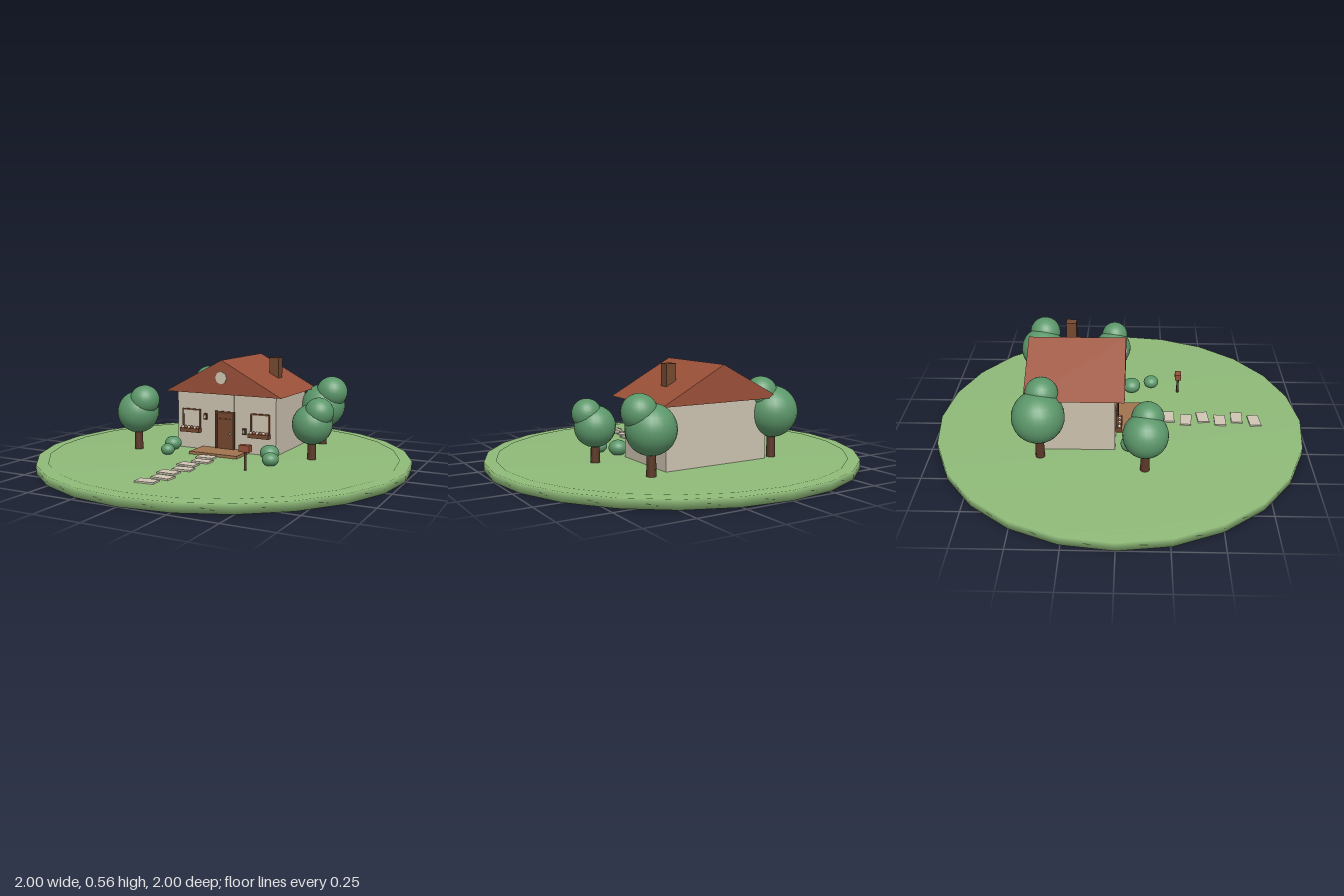
import * as THREE from 'three';

const paint = (name, color) => {
  const m = new THREE.MeshStandardMaterial({ color });
  m.name = name;
  return m;
};

export function createModel() {
  const grass = paint('grass', 0x8fba79);
  const leaf = paint('foliage', 0x5c976a);
  const bark = paint('bark', 0x5a3826);
  const plaster = paint('plaster', 0xcbc1ae);
  const roofRed = paint('roofRed', 0x9a5038);
  const wood = paint('wood', 0x74482f);
  const deck = paint('deck', 0xa0734f);
  const stone = paint('stone', 0xcfc6b4);

  const model = new THREE.Group();
  model.name = 'cottageGarden';
  const G = 0.05; // lawn height

  const add = (name, geometry, material, x = 0, y = 0, z = 0, parent = model) => {
    const mesh = new THREE.Mesh(geometry, material);
    mesh.name = name;
    mesh.position.set(x, y, z);
    parent.add(mesh);
    return mesh;
  };
  const box = (name, w, h, d, material, x, y, z, parent) =>
    add(name, new THREE.BoxGeometry(w, h, d), material, x, y, z, parent);
  const group = (name, x = 0, y = 0, z = 0) => {
    const g = new THREE.Group();
    g.name = name;
    g.position.set(x, y, z);
    model.add(g);
    return g;
  };

  // Softly shaded ground discs: a broad base with a slightly raised lawn
  const disc = (r, y0, y1) => new THREE.LatheGeometry(
    [[0, y0], [r, y0], [r, y1], [0, y1]].map(([a, b]) => new THREE.Vector2(a, b)), 24);
  add('groundBase', disc(1, 0, 0.047), grass);
  add('lawn', disc(0.94, 0.01, G), grass);

  // House body and solid gable roof
  const front = -0.02;
  box('walls', 0.6, 0.33, 0.41, plaster, 0, 0.21, -0.225);
  box('entrancePanel', 0.11, 0.11, 0.008, plaster, 0, 0.317, front + 0.002);
  const gable = new THREE.Shape([
    new THREE.Vector2(-0.35, 0.37), new THREE.Vector2(0.35, 0.37), new THREE.Vector2(0, 0.555)]);
  add('roof', new THREE.ExtrudeGeometry(gable, { depth: 0.51, bevelEnabled: false }), roofRed, 0, 0, -0.48);
  const atticWindow = add('atticWindow', new THREE.CylinderGeometry(0.034, 0.034, 0.008, 8), stone, 0, 0.46, 0.032);
  atticWindow.rotation.x = Math.PI / 2;
  box('chimney', 0.055, 0.16, 0.055, wood, 0.187, 0.475, -0.27);

  // Rectangular frame made of four bars
  const frame = (parent, w, h, bar, depth, material) => {
    for (const s of [-1, 1]) {
      box('frameSide', bar, h, depth, material, s * (w - bar) / 2, 0, 0, parent);
      box('frameRail', w - 2 * bar, bar, depth, material, 0, s * (h - bar) / 2, 0, parent);
    }
  };

  // Door with frame, inset panels and knob
  const door = group('door', 0, 0.16, front);
  box('doorLeaf', 0.095, 0.21, 0.012, wood, 0, 0, 0.004, door);
  frame(door, 0.115, 0.225, 0.012, 0.026, bark);
  box('doorTransom', 0.07, 0.006, 0.004, bark, 0, 0.07, 0.012, door);
  add('doorKnob', new THREE.SphereGeometry(0.006, 10, 8), stone, 0.033, -0.01, 0.014, door);
  box('porch', 0.285, 0.016, 0.155, deck, 0, G + 0.007, 0.055);

  // Windows with planters and a row of small flowers
  for (const s of [-1, 1]) {
    const win = group('window', s * 0.21, 0.215, front);
    box('pane', 0.1, 0.105, 0.008, stone, 0, 0, 0.002, win);
    frame(win, 0.112, 0.115, 0.008, 0.02, wood);
    box('planter', 0.12, 0.022, 0.035, wood, 0, -0.06, 0.018, win);
    for (let i = 0; i < 6; i++)
      add('flower', new THREE.SphereGeometry(0.009, 10, 8), i % 2 ? roofRed : stone,
        (i - 2.5) * 0.019, -0.045, 0.022, win);
  }

  // Wall fittings either side of the door
  for (const [x, y] of [[-0.12, 0.235], [0.118, 0.17]]) {
    box('wallFitting', 0.018, 0.034, 0.016, bark, x, y, front + 0.007);
    box('fittingFace', 0.009, 0.015, 0.004, stone, x, y, front + 0.016);
  }

  // Stepping stones in a staggered line
  const turns = [0.05, 0, -0.07, 0.09, 0, -0.06, 0.08];
  turns.forEach((turn, i) => {
    const slab = box('steppingStone', 0.098, 0.01, 0.062, stone,
      i % 2 ? 0.014 : -0.014, G + 0.003, 0.175 + i * 0.0945);
    slab.rotation.y = turn;
  });

  // Post box
  add('mailboxPost', new THREE.CylinderGeometry(0.007, 0.007, 0.1, 10), bark, 0.29, 0.095, 0.33);
  box('mailbox', 0.055, 0.034, 0.034, roofRed, 0.29, 0.16, 0.33);

  // Trees: trunk, large crown [x, y, z, r] and small crown [x, y, z, r]
  const ball = (name, x, y, z, r, squash = 1) => {
    add(name, new THREE.SphereGeometry(r, 24, 16), leaf, x, y, z).scale.y = squash;
  };
  const trees = [
    [[-0.36, 0.29, -0.405, 0.135], [-0.30, 0.39, -0.39, 0.085]],
    [[0.40, 0.272, -0.465, 0.124], [0.455, 0.355, -0.452, 0.088]],
    [[0.49, 0.235, -0.055, 0.106], [0.53, 0.302, -0.045, 0.076]],
    [[-0.465, 0.258, 0.135, 0.115], [-0.415, 0.328, 0.145, 0.082]],
  ];
  for (const [crown, tuft] of trees) {
    const h = crown[1] - G + 0.02;
    add('treeTrunk', new THREE.CylinderGeometry(0.019, 0.025, h, 12), bark, crown[0], G + h / 2 - 0.02, crown[2]);
    ball('treeCrown', ...crown);
    ball('treeTuft', ...tuft);
  }

  // Bushes [x, z, r]
  for (const [x, z, r] of [[-0.29, 0.055, 0.047], [-0.245, 0.185, 0.037], [0.30, 0.06, 0.051], [0.355, 0.175, 0.043]])
    ball('bush', x, G + r * 0.7, z, r, 0.82);

  return model;
}
